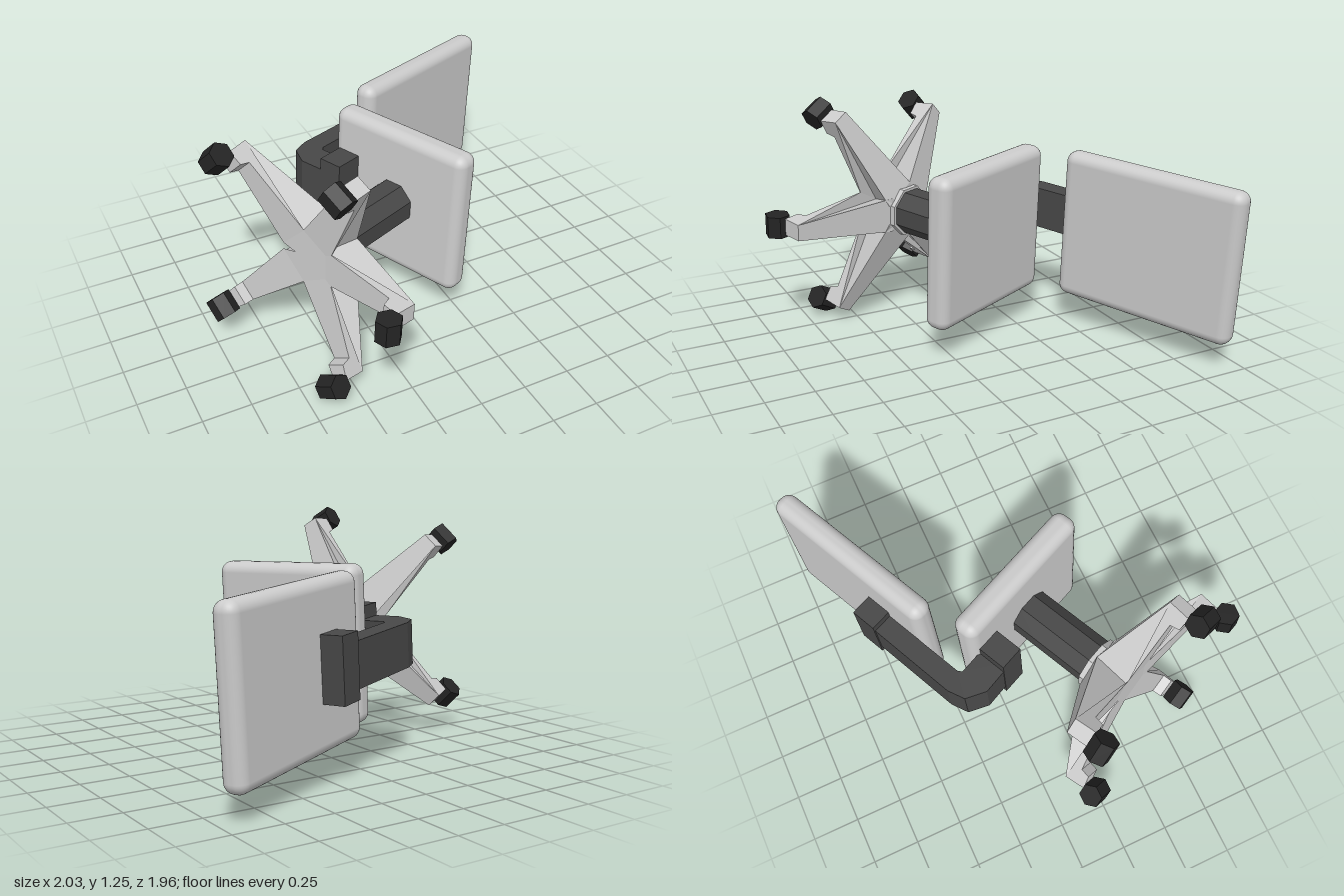
import * as THREE from 'three';
import { RoundedBoxGeometry } from 'three/addons/geometries/RoundedBoxGeometry.js';

const grey = new THREE.MeshStandardMaterial({ color: 0xcccccc });
const greyFlat = new THREE.MeshStandardMaterial({ color: 0xcccccc, flatShading: true });
const dark = new THREE.MeshStandardMaterial({ color: 0x484848, flatShading: true });
const black = new THREE.MeshStandardMaterial({ color: 0x242424, flatShading: true });

function add(parent, name, geometry, material, x = 0, y = 0, z = 0) {
  const mesh = new THREE.Mesh(geometry, material);
  mesh.name = name;
  mesh.position.set(x, y, z);
  parent.add(mesh);
  return mesh;
}

// Side profile given as [z, y] points, extruded along x and centred on x = 0
function sideProfile(points, width) {
  const shape = new THREE.Shape(points.map(([z, y]) => new THREE.Vector2(z, y)));
  const geo = new THREE.ExtrudeGeometry(shape, { depth: width, bevelEnabled: false });
  return geo.translate(0, 0, -width / 2).rotateY(-Math.PI / 2);
}

// Octagonal drum with flats facing the axes
function octagon(radius, bottom, top, segments = 1) {
  return new THREE.CylinderGeometry(radius, radius, top - bottom, 8, segments)
    .rotateY(Math.PI / 8).translate(0, (top + bottom) / 2, 0);
}

// Leg: stepped profile, widest near the hub and narrow at both ends
function legGeometry() {
  const geo = sideProfile([
    [0, -0.74], [0.12, -0.74], [0.53, -0.775], [0.54, -0.825], [0.62, -0.835],
    [0.635, -0.72], [0.12, -0.54], [0, -0.54],
  ], 1);
  const p = geo.attributes.position;
  for (let i = 0; i < p.count; i++) {
    const r = p.getZ(i);
    const width = r < 0.12 ? 0.04 + 1.25 * r : 0.19 - 0.2 * (r - 0.12);
    p.setX(i, p.getX(i) * width);
  }
  geo.computeVertexNormals();
  return geo;
}

export function createModel() {
  const model = new THREE.Group();
  model.name = 'officeChair';

  // Upright chair, with its origin at the middle of the seat
  const chair = new THREE.Group();
  chair.name = 'chair';
  model.add(chair);

  // Cushions
  add(chair, 'seat', new RoundedBoxGeometry(0.81, 0.14, 0.82, 4, 0.055), grey);
  add(chair, 'backrest', new RoundedBoxGeometry(0.81, 1.01, 0.125, 4, 0.055), grey, 0, 0.708, -0.45);

  // Column and its collar
  add(chair, 'column', octagon(0.125, -0.53, -0.05, 3), dark);
  add(chair, 'collar', octagon(0.14, -0.56, -0.515), greyFlat);

  // Bent arm joining seat and backrest, with a wider bracket at each end
  add(chair, 'backArm', sideProfile([
    [-0.3, -0.22], [-0.3, -0.06], [-0.5, -0.06], [-0.513, -0.04], [-0.513, 0.5],
    [-0.62, 0.5], [-0.624, -0.07], [-0.6, -0.165], [-0.5, -0.225],
  ], 0.225), dark);
  add(chair, 'seatBracket', new THREE.BoxGeometry(0.36, 0.16, 0.13), dark, 0, -0.145, -0.305);
  add(chair, 'backrestBracket', new THREE.BoxGeometry(0.32, 0.14, 0.12), dark, 0, 0.5, -0.567);

  // Five legs, each with a six-sided caster
  const leg = legGeometry();
  const wheel = new THREE.CylinderGeometry(0.066, 0.066, 0.115, 6).rotateZ(Math.PI / 2);
  [0, 60, -60, 135, -135].forEach((degrees) => {
    const arm = new THREE.Group();
    arm.name = 'baseLeg';
    arm.rotation.y = THREE.MathUtils.degToRad(degrees);
    add(arm, 'leg', leg, greyFlat);
    add(arm, 'caster', wheel, black, 0, -0.89, 0.622);
    chair.add(arm);
  });

  // Lay the chair on its side
  const up = new THREE.Vector3(0.907, -0.052, -0.42).normalize();
  const front = new THREE.Vector3(0.42, -0.02, 0.907);
  const side = new THREE.Vector3().crossVectors(up, front).normalize();
  front.crossVectors(side, up);
  chair.quaternion.setFromRotationMatrix(new THREE.Matrix4().makeBasis(side, up, front));
  chair.position.set(0.075, 0.58, -0.01);

  // Rest it on the ground
  model.updateMatrixWorld(true);
  chair.position.y -= new THREE.Box3().setFromObject(model, true).min.y;
  return model;
}
